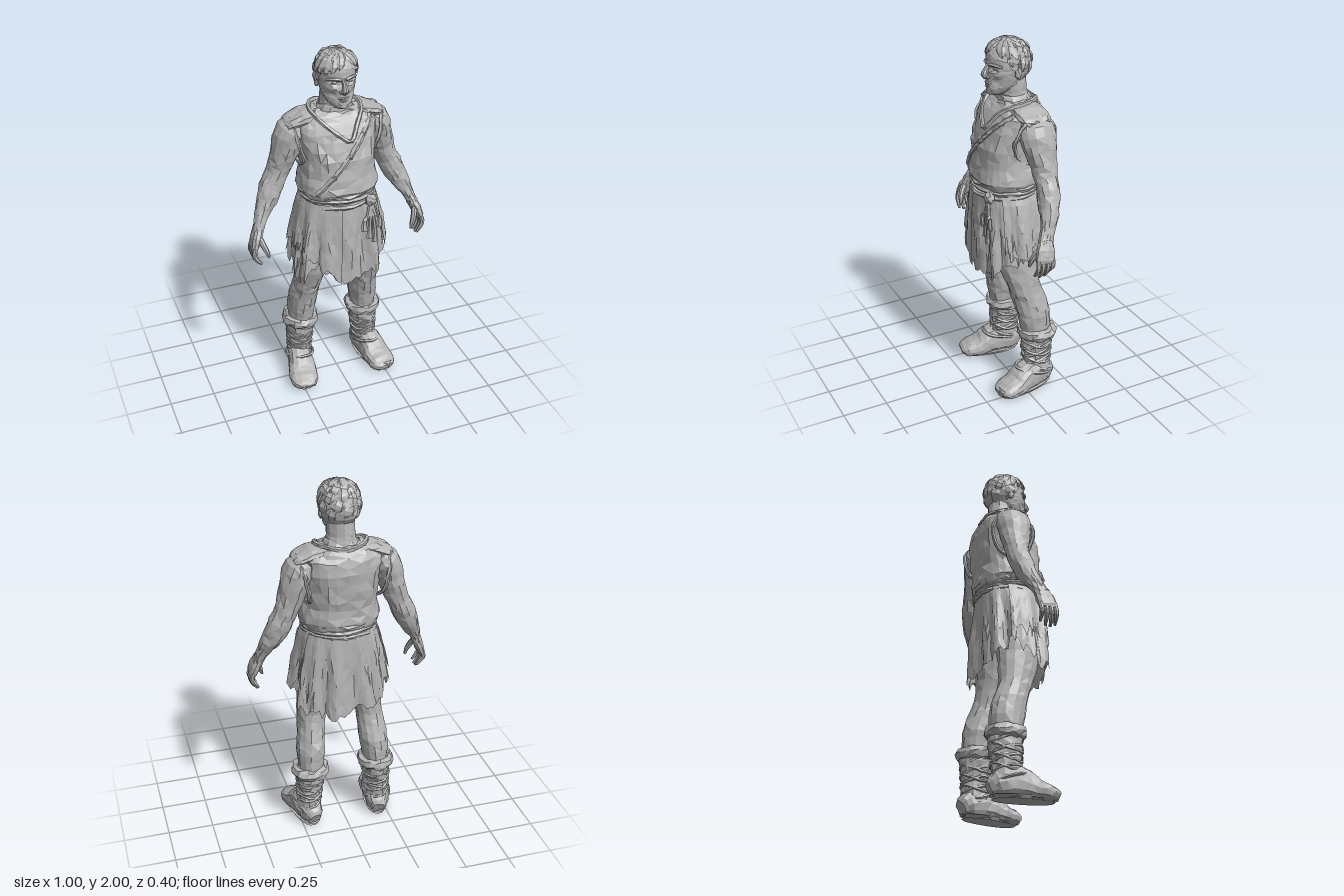
import * as THREE from 'three';

const V = (x, y, z) => new THREE.Vector3(x, y, z);
const stone = new THREE.MeshStandardMaterial({ color: 0xb4b4b4, flatShading: true, side: THREE.DoubleSide });
stone.name = 'stone grey';

let seed = 7;
const rand = () => { seed = (seed * 16807) % 2147483647; return seed / 2147483647 - 0.5; };

function geometryOf(pos, idx) {
  const g = new THREE.BufferGeometry();
  g.setAttribute('position', new THREE.Float32BufferAttribute(pos, 3));
  g.setIndex(idx);
  g.computeVertexNormals();
  return g;
}

// Smooth closed body through sections [x, y, z, radius a, radius b]; flat keeps rings horizontal,
// along is the direction of radius a
function loft(sections, { seg = 12, rows = 12, n = 2, flat = false, along = [1, 0, 0], jitter = 0, rule } = {}) {
  const path = new THREE.CatmullRomCurve3(sections.map(s => V(s[0], s[1], s[2])), false, 'catmullrom', 0.5);
  const radii = new THREE.CatmullRomCurve3(sections.map(s => V(s[3], s[4], 0)), false, 'catmullrom', 0.5);
  const pos = [], idx = [];
  const pw = k => Math.sign(k) * Math.abs(k) ** (2 / n);
  for (let i = 0; i <= rows; i++) {
    const c = path.getPoint(i / rows), r = radii.getPoint(i / rows), t = path.getTangent(i / rows);
    if (flat) t.set(0, Math.sign(t.y), 0);
    const u = V(...along);
    u.addScaledVector(t, -u.dot(t)).normalize();
    const v = t.clone().cross(u);
    for (let j = 0; j < seg; j++) {
      const a = j / seg * Math.PI * 2;
      const p = c.clone().addScaledVector(u, r.x * pw(Math.cos(a))).addScaledVector(v, r.y * pw(Math.sin(a)));
      p.add(V(rand(), rand(), rand()).multiplyScalar(jitter * 2));
      if (rule) rule(p);
      pos.push(p.x, p.y, p.z);
      if (i < rows) {
        const A = i * seg + j, B = i * seg + (j + 1) % seg;
        if ((i + j) % 2) idx.push(A, B, A + seg, B, B + seg, A + seg);
        else idx.push(A, B, B + seg, A, B + seg, A + seg);
      }
    }
  }
  const k = pos.length / 3, a = path.getPoint(0), b = path.getPoint(1);
  pos.push(a.x, a.y, a.z, b.x, b.y, b.z);
  for (let j = 0; j < seg; j++) {
    const m = (j + 1) % seg, e = rows * seg;
    idx.push(k, m, j, k + 1, e + j, e + m);
  }
  return geometryOf(pos, idx);
}

// Shift coincident vertices together
function roughen(g, amount) {
  const p = g.attributes.position, seen = {};
  for (let i = 0; i < p.count; i++) {
    const key = [p.getX(i), p.getY(i), p.getZ(i)].map(q => Math.round(q * 1e4)).join();
    const d = seen[key] ??= [rand(), rand(), rand()];
    p.setXYZ(i, p.getX(i) + d[0] * amount * 2, p.getY(i) + d[1] * amount * 2, p.getZ(i) + d[2] * amount * 2);
  }
  g.computeVertexNormals();
  return g;
}

// Rough cord through points
const cord = (pts, r, closed = false, seg = 40, sides = 6) =>
  roughen(new THREE.TubeGeometry(new THREE.CatmullRomCurve3(pts, closed), seg, r, sides, closed), r * 0.15);

// Horizontal or tilted elliptical loop
const ellipse = (x, y, z, rx, rz, tilt = 0, roll = 0, wave = 0) => Array.from({ length: 20 }, (_, i) => {
  const a = i / 20 * Math.PI * 2;
  return V(x + Math.cos(a) * rx, y + Math.sin(a) * tilt + Math.cos(a) * roll + rand() * wave, z + Math.sin(a) * rz);
});

const blob = (x, y, z, a, b, c, rough = 0.004) =>
  roughen(new THREE.IcosahedronGeometry(1, 1).scale(a, b, c), rough).translate(x, y, z);

// Torso sections also guide what lies on the chest
const TORSO = [[0, 1.16, 0, 0.18, 0.165], [0, 1.21, 0, 0.19, 0.168], [0, 1.26, 0.003, 0.217, 0.182], [0, 1.34, -0.002, 0.197, 0.176],
  [0, 1.44, -0.012, 0.198, 0.178], [0, 1.54, -0.03, 0.212, 0.165], [0, 1.61, -0.042, 0.218, 0.142], [0, 1.65, -0.045, 0.18, 0.112], [0, 1.675, -0.05, 0.12, 0.09]];
function chest(x, y, out = 0.006) {
  let i = 1;
  while (i < TORSO.length - 1 && TORSO[i][1] < y) i++;
  const a = TORSO[i - 1], b = TORSO[i], t = (y - a[1]) / (b[1] - a[1]), mix = k => a[k] + (b[k] - a[k]) * t;
  return V(x, y, mix(2) + mix(4) * Math.max(0, 1 - Math.abs(x / mix(3)) ** 2.5) ** 0.4 + out);
}

// Pleated cloth with a ragged hem; hem lists heights evenly spaced from angle a0 to a1
function skirt(hem, a0, a1, out) {
  const seg = Math.round((a1 - a0) / 4), rows = 7, pos = [], idx = [], top = 1.2;
  const pw = k => Math.sign(k) * Math.abs(k) ** 0.8;
  for (let j = 0; j <= seg; j++) {
    const f = j / seg * (hem.length - 1), h0 = Math.min(Math.floor(f), hem.length - 2);
    const full = a1 - a0 === 360 && j === seg;
    const low = full ? pos[rows * 3 + 1] : hem[h0] + (hem[h0 + 1] - hem[h0]) * (f - h0) + rand() * 0.06;
    const a = (a0 + (a1 - a0) * j / seg) * Math.PI / 180;
    for (let i = 0; i <= rows; i++) {
      const y = top + (low - top) * i / rows, d = (top - y) / 0.45;
      const crease = full || j === 0 ? 0 : rand() * 0.008 * Math.min(1, d * 2);
      const pleat = out + crease + (Math.sin(a * 13 + d * 1.2) * 0.01 + Math.sin(a * 8 + 1 - d) * 0.01) * Math.min(1, d * 1.8);
      const grow = Math.min(1, d) ** 0.7;
      pos.push(pw(Math.cos(a)) * (0.188 + 0.088 * grow + pleat), y, pw(Math.sin(a)) * (0.165 + 0.015 * grow + pleat));
      if (j < seg && i < rows) {
        const A = j * (rows + 1) + i, B = A + rows + 1;
        if ((i + j) % 2) idx.push(A, B, A + 1, B, B + 1, A + 1);
        else idx.push(A, B, B + 1, A, B + 1, A + 1);
      }
    }
  }
  return geometryOf(pos, idx);
}

// Point on the hair: polar angle from the crown, angle around, swelling
const scalp = (phi, a, r) => V(Math.sin(phi) * Math.cos(a) * 0.108 * r, 1.872 + Math.cos(phi) * 0.124 * r, -0.012 + Math.sin(phi) * Math.sin(a) * 0.121 * r);

// Hair shell over the skull, cut lower towards the nape
function hairShell() {
  const seg = 28, rows = 8, pos = scalp(0, 0, 1).toArray(), idx = [];
  for (let i = 1; i <= rows; i++) for (let j = 0; j < seg; j++) {
    const a = j / seg * Math.PI * 2, s = Math.sin(a);
    const edge = s > 0.35 ? 1.05 + Math.abs(Math.cos(a)) * 0.4 : s > -0.1 ? 1.75 : 2.3;
    pos.push(...scalp(edge * i / rows, a, 1.02 + rand() * 0.05).toArray());
    const b = 1 + (i - 1) * seg, m = (j + 1) % seg;
    if (i === 1) idx.push(0, b + m, b + j);
    else idx.push(b - seg + j, b - seg + m, b + j, b - seg + m, b + m, b + j);
  }
  return geometryOf(pos, idx);
}

// Tapered lock lying on the scalp between two polar angles, sweeping sideways
function lock(f0, f1, a0, a1, w, lift) {
  const at = (t, r, k) => [...scalp(f0 + (f1 - f0) * t, a0 + (a1 - a0) * t, r + lift).toArray(), w * k, w * 0.45 * k];
  const side = V(-Math.sin(a0), 0, Math.cos(a0)).toArray();
  return loft([at(0, 0.95, 0.5), at(0.4, 1, 1), at(0.8, 1, 0.8), at(1, 0.98, 0.2)], { seg: 6, rows: 5, jitter: 0.002, along: side });
}

export function createModel() {
  const root = new THREE.Group();
  root.name = 'figure';
  const add = (name, g, parent = root) => {
    const m = new THREE.Mesh(g, stone);
    m.name = name;
    parent.add(m);
    return m;
  };
  const part = name => { const g = new THREE.Group(); g.name = name; root.add(g); return g; };

  // Head and face
  const head = part('head');
  add('neck', loft([[0, 1.58, -0.045, 0.15, 0.1], [0, 1.65, -0.042, 0.115, 0.092], [0, 1.69, -0.038, 0.085, 0.082], [0, 1.72, -0.035, 0.077, 0.08], [0, 1.8, -0.028, 0.076, 0.08]], { flat: true, rows: 8, jitter: 0.003 }), head);
  add('skull', loft([[0, 1.708, 0.058, 0.032, 0.036], [0, 1.73, 0.044, 0.058, 0.064], [0, 1.765, 0.018, 0.079, 0.092], [0, 1.8, 0.002, 0.089, 0.107],
    [0, 1.84, -0.006, 0.097, 0.112], [0, 1.88, -0.01, 0.099, 0.116], [0, 1.93, -0.012, 0.093, 0.11], [0, 1.97, -0.012, 0.06, 0.07]],
  { seg: 32, rows: 24, flat: true, jitter: 0.0015, rule: p => {
    // Eye sockets, cheekbones and hollow cheeks
    if (p.z > 0.02) for (const s of [1, -1]) {
      const dent = (x, y, w, h, d) => { p.z -= d * Math.exp(-(((p.x - s * x) / w) ** 2) - ((p.y - y) / h) ** 2); };
      dent(0.04, 1.852, 0.022, 0.014, 0.02);
      dent(0.06, 1.822, 0.022, 0.014, -0.008);
      dent(0.055, 1.785, 0.022, 0.022, 0.014);
    }
  } }), head);
  add('nose', loft([[0, 1.87, 0.096, 0.011, 0.012], [0, 1.842, 0.114, 0.012, 0.015], [0, 1.817, 0.125, 0.019, 0.017], [0, 1.802, 0.11, 0.018, 0.014]], { seg: 8, rows: 6 }), head);
  add('upperLip', blob(0, 1.771, 0.102, 0.032, 0.007, 0.014, 0.001), head);
  add('lowerLip', blob(0, 1.757, 0.1, 0.026, 0.008, 0.014, 0.001), head);
  add('chin', blob(0, 1.727, 0.084, 0.032, 0.02, 0.026, 0.002), head);
  for (const s of [1, -1]) {
    add('brow', loft([[s * 0.012, 1.868, 0.1, 0.011, 0.008], [s * 0.045, 1.875, 0.092, 0.012, 0.009], [s * 0.078, 1.866, 0.062, 0.009, 0.007]], { seg: 6, rows: 5, along: [0, 0, 1] }), head);
    add('eye', blob(s * 0.04, 1.851, 0.078, 0.016, 0.008, 0.01, 0), head);
    add('nostril', blob(s * 0.017, 1.806, 0.112, 0.009, 0.008, 0.011, 0), head);
    add('ear', blob(s * 0.1, 1.832, -0.018, 0.012, 0.033, 0.02, 0.002), head);
  }
  add('hair', hairShell(), head);
  // Parted fringe swept to both sides, then flat locks round the crown and back
  for (let i = 0; i < 8; i++) {
    const a = Math.PI * (0.12 + i * 0.108), sweep = i < 3 ? -0.35 : 0.4;
    add('fringeLock', lock(0.35, 1.2 + Math.abs(i - 2.6) * 0.07 + rand() * 0.1, a, a + sweep, 0.026, 0.02), head);
  }
  for (let i = 0; i < 16; i++) {
    const a = Math.PI * 0.95 + (i * 0.618 % 1) * Math.PI * 1.1, f = 0.2 + i * 0.09;
    add('hairLock', lock(f, f + 0.7, a, a + 0.25, 0.034, -0.04), head);
  }

  // Tunic
  const tunic = part('tunic');
  add('tunicBody', loft(TORSO, { seg: 28, rows: 16, n: 2.5, flat: true, jitter: 0.006 }), tunic);
  add('collar', cord([V(0, 1.665, -0.15), V(0.09, 1.68, -0.125), V(0.135, 1.68, -0.05), V(0.12, 1.66, 0.04), chest(0.085, 1.625), chest(0.025, 1.54),
    chest(-0.03, 1.575), chest(-0.09, 1.625), V(-0.125, 1.66, 0.04), V(-0.135, 1.68, -0.05), V(-0.09, 1.68, -0.125)], 0.012, true, 44, 5), tunic);
  const strap = Array.from({ length: 12 }, (_, i) => chest(0.165 - i * 0.03, 1.63 - i * 0.033, 0.002));
  add('chestStrap', cord(strap, 0.014, false, 24, 5), tunic);
  for (let i = 2; i < 11; i += 3) add('strapStitch', blob(strap[i].x, strap[i].y, strap[i].z + 0.006, 0.012, 0.015, 0.009), tunic);
  // Cloth gathered over the belt
  add('gatheredCloth', cord(ellipse(0, 1.248, 0.003, 0.2, 0.168, 0, 0, 0.025), 0.02, true, 48, 6), tunic);
  for (const s of [1, -1]) {
    add('shoulderCloth', loft([[s * 0.09, 1.65, -0.05, 0.08, 0.03], [s * 0.17, 1.638, -0.05, 0.092, 0.03], [s * 0.235, 1.615, -0.055, 0.082, 0.028], [s * 0.262, 1.602, -0.055, 0.06, 0.018]],
      { seg: 14, rows: 6, jitter: 0.005, along: [0, 0, 1] }), tunic);
    const hole = Array.from({ length: 18 }, (_, i) => {
      const a = i / 18 * Math.PI * 2;
      return V(s * (0.215 + Math.sin(a) * 0.03 + rand() * 0.012), 1.5 + Math.sin(a) * 0.13, -0.055 + Math.cos(a) * 0.115 + rand() * 0.012);
    });
    add('armholeEdge', cord(hole, 0.011, true, 40, 5), tunic);
  }

  // Skirt, with upper torn layers, and belt
  add('skirt', skirt([0.84, 0.83, 0.8, 0.74, 0.71, 0.73, 0.83, 0.75, 0.71, 0.8, 0.85, 0.78, 0.75, 0.73, 0.71, 0.72, 0.74, 0.77, 0.84], 0, 360, 0), tunic);
  add('skirtOverlay', skirt([0.72, 0.8, 0.88, 0.86, 0.93, 0.9, 0.95], 95, 200, 0.01), tunic);
  add('sideOverlay', skirt([0.95, 0.86, 0.84, 0.9], -25, 35, 0.01), tunic);
  add('beltUpper', cord(ellipse(0, 1.212, 0.004, 0.196, 0.174, 0.004, 0, 0.008), 0.014, true, 48, 6), tunic);
  add('beltLower', cord(ellipse(0, 1.184, 0.004, 0.196, 0.174, -0.004, 0.006, 0.008), 0.014, true, 48, 6), tunic);
  add('beltKnot', blob(0.13, 1.19, 0.165, 0.032, 0.032, 0.026), tunic);
  for (const [x, y] of [[0.09, 1.02], [0.12, 0.97], [0.15, 0.94], [0.175, 1.03]])
    add('beltTail', loft([[0.13, 1.19, 0.17, 0.011, 0.009], [(0.13 + x) / 2, 1.1, 0.18, 0.011, 0.009], [x, y + 0.06, 0.184, 0.012, 0.009], [x, y, 0.186, 0.02, 0.011]], { seg: 6, rows: 6, jitter: 0.002 }), tunic);

  for (const s of [1, -1]) {
    const mx = list => list.map(([x, ...rest]) => [s * x, ...rest]);
    // Arm and hand
    const arm = part(s > 0 ? 'leftArm' : 'rightArm');
    add('bareArm', loft(mx([[0.19, 1.6, -0.06, 0.055, 0.078], [0.23, 1.555, -0.06, 0.078, 0.1], [0.256, 1.48, -0.062, 0.075, 0.092], [0.28, 1.4, -0.068, 0.068, 0.074], [0.306, 1.33, -0.07, 0.059, 0.063],
      [0.337, 1.265, -0.067, 0.064, 0.062], [0.367, 1.2, -0.056, 0.06, 0.057], [0.398, 1.14, -0.04, 0.047, 0.047], [0.428, 1.08, -0.014, 0.033, 0.038], [0.448, 1.03, 0.004, 0.029, 0.042]]), { seg: 14, rows: 20, jitter: 0.004 }), arm);
    add('palm', loft(mx([[0.443, 1.045, 0, 0.028, 0.038], [0.462, 1.0, 0.012, 0.027, 0.05], [0.478, 0.955, 0.022, 0.021, 0.053], [0.478, 0.94, 0.024, 0.014, 0.048]]), { seg: 10, rows: 6, n: 2.4, jitter: 0.002 }), arm);
    [0.87, 0.852, 0.85, 0.862].forEach((y, i) => {
      const z = -0.02 + i * 0.027;
      add('finger', loft(mx([[0.478, 0.962, z, 0.013, 0.013], [0.488, 0.92, z + 0.003, 0.013, 0.013], [0.475, y + 0.03, z + 0.006, 0.012, 0.011], [0.452, y, z + 0.008, 0.007, 0.007]]), { seg: 7, rows: 7 }), arm);
    });
    add('thumb', loft(mx([[0.45, 1.01, 0.035, 0.017, 0.018], [0.434, 0.965, 0.062, 0.016, 0.017], [0.42, 0.93, 0.074, 0.013, 0.013], [0.412, 0.9, 0.078, 0.007, 0.007]]), { seg: 7, rows: 7 }), arm);

    // Leg
    const leg = part(s > 0 ? 'leftLeg' : 'rightLeg');
    add('bareLeg', loft(mx([[0.1, 1.0, -0.01, 0.095, 0.13], [0.132, 0.86, 0, 0.095, 0.122], [0.15, 0.75, 0, 0.087, 0.112], [0.167, 0.65, -0.02, 0.077, 0.094], [0.174, 0.58, -0.042, 0.075, 0.092],
      [0.181, 0.5, -0.068, 0.081, 0.097], [0.186, 0.43, -0.078, 0.077, 0.092], [0.19, 0.34, -0.088, 0.07, 0.085]]), { seg: 14, rows: 14, flat: true, jitter: 0.004 }), leg);
    add('kneecap', blob(s * 0.168, 0.63, 0.038, 0.048, 0.065, 0.022), leg);

    // Wrapped boot with fleece cuff
    const boot = part(s > 0 ? 'leftBoot' : 'rightBoot');
    add('bootShaft', loft(mx([[0.19, 0.37, -0.09, 0.08, 0.09], [0.194, 0.28, -0.09, 0.076, 0.09], [0.2, 0.19, -0.088, 0.066, 0.08], [0.204, 0.1, -0.09, 0.066, 0.08], [0.205, 0.04, -0.09, 0.06, 0.078]]), { seg: 14, rows: 10, flat: true, jitter: 0.004 }), boot);
    add('fleeceCuff', roughen(new THREE.TorusGeometry(0.077, 0.029, 8, 20).rotateX(Math.PI / 2).scale(1, 1.15, 1.05), 0.006).translate(s * 0.192, 0.345, -0.09), boot);
    for (let i = 0; i < 7; i++) {
      const k = (i % 2 ? 1 : -1) * 0.022, y = 0.295 - i * 0.025, r = 0.074 - i * 0.0016;
      add('bootWrap', cord(ellipse(s * (0.194 + i * 0.0012), y, -0.088, r, r + 0.013, -k * 0.8, k, 0.008), 0.0085, true, 24, 5), boot);
    }
    const foot = add('foot', loft([[0, 0.05, -0.085, 0.035, 0.04], [0, 0.07, -0.045, 0.062, 0.07], [0, 0.088, 0.03, 0.068, 0.09], [0, 0.078, 0.09, 0.072, 0.08], [0, 0.053, 0.15, 0.081, 0.055], [0, 0.042, 0.21, 0.079, 0.043], [0, 0.034, 0.25, 0.06, 0.032], [0, 0.028, 0.265, 0.028, 0.016]],
      { seg: 14, rows: 14, n: 2.5, jitter: 0.003, rule: p => { p.y = Math.max(0, p.y); } }), boot);
    const sole = add('sole', loft([[0, 0.0, 0.085, 0.06, 0.16], [0, 0.018, 0.085, 0.07, 0.172]], { seg: 20, rows: 1, flat: true, n: 2.3 }), boot);
    for (const m of [foot, sole]) { m.position.set(s * 0.204, 0, -0.09); m.rotation.y = s * 0.18; }
    add('ankleStrap', cord(ellipse(s * 0.208, 0.115, -0.06, 0.073, 0.1, 0.03, 0, 0.006), 0.009, true, 24, 5), boot);
  }
  return root;
}
